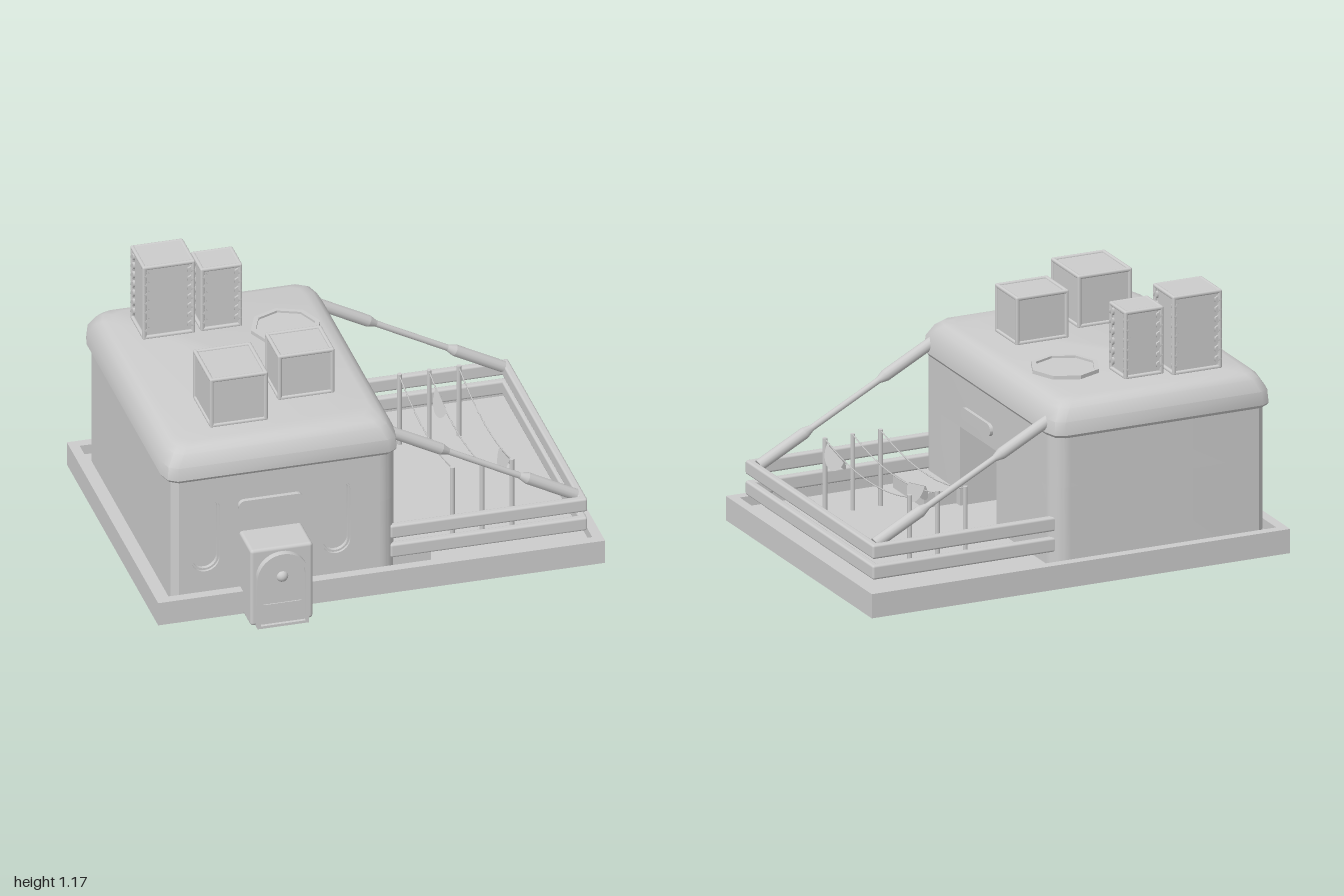
import * as THREE from 'three';
import { toCreasedNormals } from 'three/addons/utils/BufferGeometryUtils.js';
import { RoundedBoxGeometry } from 'three/addons/geometries/RoundedBoxGeometry.js';

const mat = new THREE.MeshStandardMaterial({ color: 0xcccccc });
const thin = new THREE.MeshStandardMaterial({ color: 0xcccccc, side: THREE.DoubleSide });

function add(parent, name, geo, material = mat) {
  const m = new THREE.Mesh(geo, material);
  m.name = name;
  parent.add(m);
  return m;
}

// Box given by its limits, with optional rounded edges
function box(parent, name, x0, x1, y0, y1, z0, z1, r = 0) {
  const s = [x1 - x0, y1 - y0, z1 - z0];
  const g = r ? new RoundedBoxGeometry(...s, 2, r) : new THREE.BoxGeometry(...s);
  return add(parent, name, g.translate((x0 + x1) / 2, (y0 + y1) / 2, (z0 + z1) / 2));
}

const extrude = (shape, depth, seg = 8) =>
  toCreasedNormals(new THREE.ExtrudeGeometry(shape, { depth, bevelEnabled: false, curveSegments: seg }), 0.6);

// Plan shape (y means -z) raised between two heights
const raise = (shape, y0, y1) => extrude(shape, y1 - y0).rotateX(-Math.PI / 2).translate(0, y0, 0);

function rect(x0, x1, y0, y1, P = THREE.Shape) {
  const s = new P();
  s.moveTo(x0, y0); s.lineTo(x1, y0); s.lineTo(x1, y1); s.lineTo(x0, y1); s.closePath();
  return s;
}

// Rectangular ring in plan: the base outline inset by a, with a hole inset by b
function baseRing(a, b) {
  const s = rect(-1 + a, 1 - a, -0.65 + a, 0.8 - a);
  s.holes.push(rect(-1 + b, 1 - b, -0.65 + b, 0.8 - b, THREE.Path));
  return s;
}

// Pill outline, lying or standing
function pill(cx, cy, w, h, P = THREE.Shape) {
  const s = new P(), r = Math.min(w, h) / 2, a = w / 2 - r, b = h / 2 - r, H = Math.PI / 2;
  if (a > b) {
    s.absarc(cx + a, cy, r, -H, H, false);
    s.absarc(cx - a, cy, r, H, 3 * H, false);
  } else {
    s.absarc(cx, cy + b, r, 0, 2 * H, false);
    s.absarc(cx, cy - b, r, 2 * H, 4 * H, false);
  }
  s.closePath();
  return s;
}

// Round-topped door outline standing on y = y0
function arch(cx, y0, w, top, P = THREE.Shape) {
  const s = new P(), r = w / 2;
  s.moveTo(cx - r, y0); s.lineTo(cx + r, y0);
  s.absarc(cx, top - r, r, 0, Math.PI, false);
  s.closePath();
  return s;
}

function octagon(r, P = THREE.Shape) {
  const s = new P();
  for (let i = 0; i < 8; i++) {
    const a = i * Math.PI / 4, x = -0.16 + r * Math.cos(a), y = 0.31 + r * Math.sin(a);
    if (i) s.lineTo(x, y); else s.moveTo(x, y);
  }
  s.closePath();
  return s;
}

// House plan with a shallow front notch for the window wall, and an optional side doorway
function housePlan(doorway) {
  const s = new THREE.Shape(), r = 0.08, c = 0.03, x0 = -0.92, x1 = 0.09, f = -0.59, b = 0.72;
  s.moveTo(x0 + c, f); s.lineTo(x0 + c, f + 0.03); s.lineTo(x1 - r, f + 0.03); s.lineTo(x1 - r, f);
  s.absarc(x1 - r, f + r, r, -Math.PI / 2, 0, false);
  if (doorway) {
    s.lineTo(x1, -0.215); s.lineTo(x1 - 0.35, -0.215); s.lineTo(x1 - 0.35, 0.147); s.lineTo(x1, 0.147);
  }
  s.absarc(x1 - r, b - r, r, 0, Math.PI / 2, false);
  s.lineTo(x0 + c, b); s.lineTo(x0, b - c); s.lineTo(x0, f + c);
  s.closePath();
  return s;
}

// Roof cap lofted through chamfered rectangles: [x inset, z inset, height]
function roofGeometry() {
  const rings = [[0.035, 0.025, 0.65], [0.008, 0.008, 0.657], [0, 0, 0.67], [0.005, 0.004, 0.73],
    [0.035, 0.03, 0.782], [0.058, 0.053, 0.802], [0.095, 0.09, 0.813]];
  const pos = [], idx = [], n = 12;
  for (const [ix, iz, y] of rings) {
    const hx = 0.528 - ix, hz = 0.672 - iz, rx = 0.055, rz = 0.085;
    for (let q = 0; q < 4; q++) for (let k = 0; k < 3; k++) {
      const a = (q + k / 2) * Math.PI / 2;
      const sx = q === 0 || q === 3 ? 1 : -1, sz = q < 2 ? 1 : -1;
      pos.push(-0.425 + sx * (hx - rx) + rx * Math.cos(a), y, -0.07 + sz * (hz - rz) + rz * Math.sin(a));
    }
  }
  for (let j = 0; j < rings.length - 1; j++) for (let i = 0; i < n; i++) {
    const a = j * n + i, b = j * n + (i + 1) % n;
    idx.push(a, a + n, b, b, a + n, b + n);
  }
  const t = (rings.length - 1) * n;
  for (let i = 1; i < n - 1; i++) idx.push(t, t + i + 1, t + i, 0, i, i + 1);
  const g = new THREE.BufferGeometry();
  g.setAttribute('position', new THREE.Float32BufferAttribute(pos, 3));
  g.setIndex(idx);
  return toCreasedNormals(g, 0.6);
}

// Rooftop unit: recessed core in a thin frame; towers have a solid top and toothed recess edges
function roofUnit(parent, x0, x1, z0, z1, top, tower) {
  const u = new THREE.Group(), y0 = 0.808, e = 0.018, d = tower ? 0.015 : 0.008;
  u.name = tower ? 'ventTower' : 'roofCrate';
  parent.add(u);
  box(u, 'core', x0 + d, x1 - d, y0, top - (tower ? 0.002 : d), z0 + d, z1 - d);
  for (const y of [y0, top - e]) {
    for (const z of [z0, z1 - e]) box(u, 'frameRail', x0, x1, y, y + e, z, z + e, 0.008);
    for (const x of [x0, x1 - e]) box(u, 'frameRail', x, x + e, y, y + e, z0, z1, 0.008);
  }
  for (const x of [x0, x1 - e]) for (const z of [z0, z1 - e]) {
    box(u, 'framePost', x, x + e, y0, top, z, z + e, 0.008);
    if (!tower) continue;
    const sx = x === x0 ? 1 : -1, sz = z === z0 ? 1 : -1;
    for (let y = y0 + 0.045; y < top - 0.03; y += 0.045) {
      const a = add(u, 'tooth', new THREE.CylinderGeometry(0.018, 0.018, 0.012, 6).rotateX(Math.PI / 2));
      a.position.set(x + e / 2 + sx * 0.007, y, z + e / 2 + sz * 0.002);
      const b = add(u, 'tooth', new THREE.CylinderGeometry(0.018, 0.018, 0.012, 6).rotateZ(Math.PI / 2));
      b.position.set(x + e / 2 + sx * 0.002, y, z + e / 2 + sz * 0.007);
    }
  }
}

// Round bar between two points, optionally tapered
function bar(parent, name, a, b, r, sides = 12, r2 = r) {
  const m = add(parent, name, new THREE.CylinderGeometry(r2, r, a.distanceTo(b), sides));
  m.position.copy(a).lerp(b, 0.5);
  m.quaternion.setFromUnitVectors(new THREE.Vector3(0, 1, 0), b.clone().sub(a).normalize());
}

export function createModel() {
  const root = new THREE.Group();
  root.name = 'houseWithYard';
  const V = (x, y, z) => new THREE.Vector3(x, y, z);

  // Base tray: hollow raised rim around a sunken floor
  add(root, 'baseOuterWall', raise(baseRing(0, 0.005), 0, 0.11));
  add(root, 'baseRimTop', raise(baseRing(0, 0.045), 0.104, 0.11));
  add(root, 'baseInnerWall', raise(baseRing(0.04, 0.045), 0.02, 0.11));
  box(root, 'yardFloor', -0.96, 0.96, 0.02, 0.065, -0.76, 0.61);
  box(root, 'yardStep', 0.08, 0.245, 0.06, 0.13, 0.25, 0.56);

  // House walls, with recessed front windows
  add(root, 'lowerWalls', raise(housePlan(true), 0.06, 0.425));
  add(root, 'upperWalls', raise(housePlan(false), 0.425, 0.67));
  const front = rect(-0.89, 0.01, 0.06, 0.67);
  for (const x of [-0.772, -0.187]) {
    front.holes.push(pill(x, 0.385, 0.128, 0.37, THREE.Path));
    const trim = pill(x, 0.385, 0.128, 0.37);
    trim.holes.push(pill(x, 0.385, 0.112, 0.352, THREE.Path));
    add(root, 'windowTrim', extrude(trim, 0.018).translate(0, 0, 0.56));
  }
  add(root, 'frontWall', extrude(front, 0.03).translate(0, 0, 0.56));
  add(root, 'frontPlaque', extrude(pill(-0.482, 0.505, 0.29, 0.055), 0.025).translate(0, 0, 0.585));
  add(root, 'sidePlaque', extrude(pill(0, 0.505, 0.29, 0.055), 0.02).rotateY(Math.PI / 2).translate(0.085, 0, 0.03));

  // Roof, hatch and rooftop units
  add(root, 'roof', roofGeometry());
  const hatch = octagon(0.155);
  hatch.holes.push(octagon(0.133, THREE.Path));
  add(root, 'hatchRim', raise(hatch, 0.8, 0.83));
  add(root, 'hatchLid', raise(octagon(0.135), 0.8, 0.82));
  roofUnit(root, -0.777, -0.541, -0.59, -0.385, 1.17, true);
  roofUnit(root, -0.517, -0.33, -0.55, -0.387, 1.12, true);
  roofUnit(root, -0.705, -0.445, 0.152, 0.428, 1.05, false);
  roofUnit(root, -0.358, -0.105, 0.06, 0.278, 1.03, false);

  // Porch with arched door
  box(root, 'porch', -0.62, -0.34, 0, 0.375, 0.57, 0.77, 0.015);
  const frame = arch(-0.482, 0, 0.23, 0.355);
  frame.holes.push(arch(-0.482, 0.012, 0.2, 0.34, THREE.Path));
  add(root, 'doorFrame', extrude(frame, 0.04, 10).translate(0, 0, 0.76));
  add(root, 'door', extrude(arch(-0.482, 0, 0.21, 0.345), 0.025, 10).translate(0, 0, 0.76));
  box(root, 'doorPanel', -0.567, -0.397, 0.02, 0.11, 0.78, 0.79);
  add(root, 'doorKnob', new THREE.SphereGeometry(0.028, 16, 10)).position.set(-0.482, 0.237, 0.775);

  // Yard fence: two rails around three sides
  for (const [y0, y1] of [[0.13, 0.195], [0.224, 0.288]]) {
    box(root, 'sideRail', 0.06, 0.942, y0, y1, 0.545, 0.58, 0.01);
    box(root, 'sideRail', 0.06, 0.942, y0, y1, -0.69, -0.655, 0.01);
    box(root, 'endRail', 0.907, 0.942, y0, y1, -0.69, 0.58, 0.01);
  }

  // Sloping braces from roof to fence, with thick tapering sleeves at both ends
  for (const z of [0.512, -0.64]) {
    const a = V(0.07, 0.722, z), b = V(0.907, 0.278, z);
    const at = t => a.clone().lerp(b, t);
    bar(root, 'braceSleeve', a, at(0.28), 0.026);
    bar(root, 'sleeveTaper', at(0.28), at(0.32), 0.026, 12, 0.014);
    bar(root, 'braceRod', a, b, 0.014);
    bar(root, 'sleeveTaper', at(0.7), at(0.74), 0.014, 12, 0.026);
    bar(root, 'braceSleeve', at(0.74), b, 0.026);
  }

  // Washing lines
  for (const x of [0.397, 0.53, 0.663]) {
    for (const z of [0.365, -0.475]) bar(root, 'linePost', V(x, 0.05, z), V(x, 0.412, z), 0.011, 8);
    const curve = new THREE.QuadraticBezierCurve3(V(x, 0.408, 0.365), V(x, 0.29, -0.055), V(x, 0.402, -0.475));
    add(root, 'washingLine', new THREE.TubeGeometry(curve, 16, 0.003, 5));
  }

  // Half-round cloths folded over the lines
  for (const [x, z, tilt] of [[0.53, -0.27, 0.2], [0.663, 0.255, -0.2]]) {
    const cloth = new THREE.Group();
    cloth.name = 'hangingCloth';
    cloth.position.set(x, 0.377, z);
    cloth.rotation.x = tilt;
    root.add(cloth);
    for (const s of [-1, 1]) {
      const g = new THREE.CircleGeometry(0.085, 14, Math.PI, Math.PI).scale(1, 0.85, 1).rotateY(Math.PI / 2);
      const p = g.attributes.position;
      for (let i = 0; i < p.count; i++) p.setX(i, s * (0.003 - p.getY(i) * 0.36));
      g.computeVertexNormals();
      add(cloth, 'clothHalf', g, thin);
    }
  }
  return root;
}
